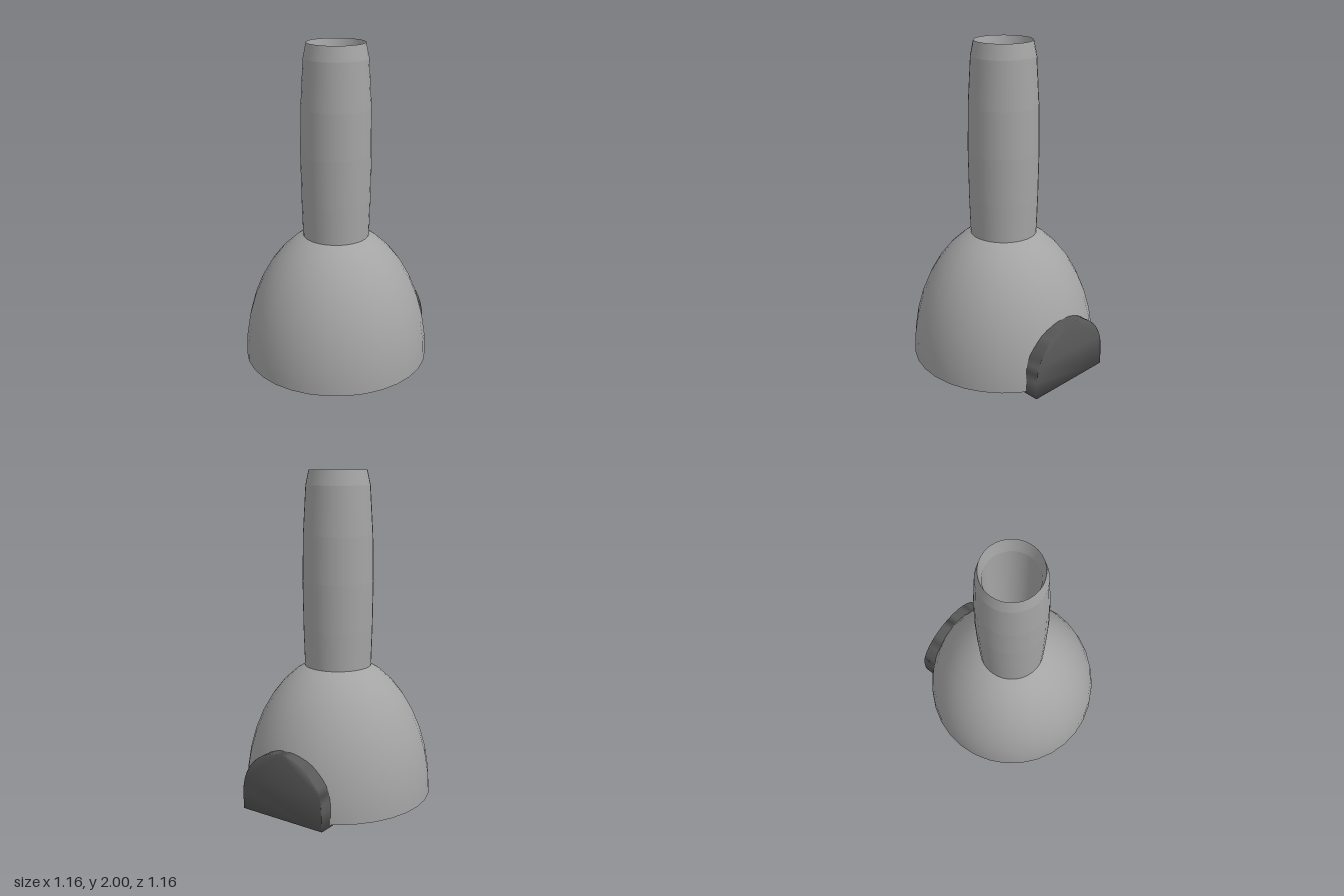
import * as THREE from 'three';
import { mergeGeometries } from 'three/addons/utils/BufferGeometryUtils.js';

const SEGMENTS = 32;

// Closed arch outline in (z, y), starting at the two bottom corners
function archOutline(halfWidth, springY, steps) {
  const points = [new THREE.Vector2(-halfWidth, 0), new THREE.Vector2(halfWidth, 0)];
  for (let i = 0; i <= steps; i++) {
    const a = (i / steps) * Math.PI;
    points.push(new THREE.Vector2(halfWidth * Math.cos(a), springY + halfWidth * Math.sin(a)));
  }
  return points;
}

// Arched hood: closed outer face, open inner end, half-covered underside
function doorwayGeometry(innerX, outerX) {
  const outline = archOutline(0.29, 0.11, 20);
  const n = outline.length;
  const positions = [];
  for (const x of [outerX, innerX]) outline.forEach((p) => positions.push(x, p.y, p.x));

  const indices = [];
  // outer face
  THREE.ShapeUtils.triangulateShape(outline, []).forEach(([a, b, c]) => indices.push(a, c, b));
  // side walls and arch
  for (let i = 1; i < n; i++) {
    const j = (i + 1) % n;
    indices.push(i, j, n + i, j, n + j, n + i);
  }
  // underside
  indices.push(0, 1, n + 1);

  const geometry = new THREE.BufferGeometry();
  geometry.setAttribute('position', new THREE.Float32BufferAttribute(positions, 3));
  geometry.setIndex(indices);
  geometry.computeVertexNormals();
  return geometry;
}

export function createModel() {
  const group = new THREE.Group();
  const grey = new THREE.MeshStandardMaterial({ color: 0xa4a4a4, side: THREE.DoubleSide });
  const darkGrey = new THREE.MeshStandardMaterial({ color: 0x585858, side: THREE.DoubleSide });

  const add = (name, geometry, material = grey) => {
    const mesh = new THREE.Mesh(geometry, material);
    mesh.name = name;
    group.add(mesh);
    return mesh;
  };

  // Round bands, smooth around but creased where they meet
  const bands = (profile) => {
    const points = profile.map(([r, y]) => new THREE.Vector2(r, y));
    return mergeGeometries(points.slice(1).map((p, i) =>
      new THREE.LatheGeometry([points[i], p], SEGMENTS)));
  };

  // Half-ellipsoid dome, open underneath
  const dome = new THREE.SphereGeometry(1, SEGMENTS, 10, 0, Math.PI * 2, 0, Math.PI / 2);
  dome.scale(0.58, 0.86, 0.58);
  add('dome', dome).position.y = 0.015;

  // Slightly bulging chimney
  add('chimney', bands([
    [0.205, 0.82], [0.212, 1.05], [0.216, 1.34], [0.211, 1.62], [0.194, 1.91], [0.175, 2],
  ]));

  // Flue inside the chimney, narrowing down to the dome
  add('flue', bands([[0.135, 0.84], [0.156, 1.9], [0.175, 2]]));

  // Arched doorway on the dome's left side
  add('doorway', doorwayGeometry(0.29, 0.58), darkGrey);

  return group;
}
